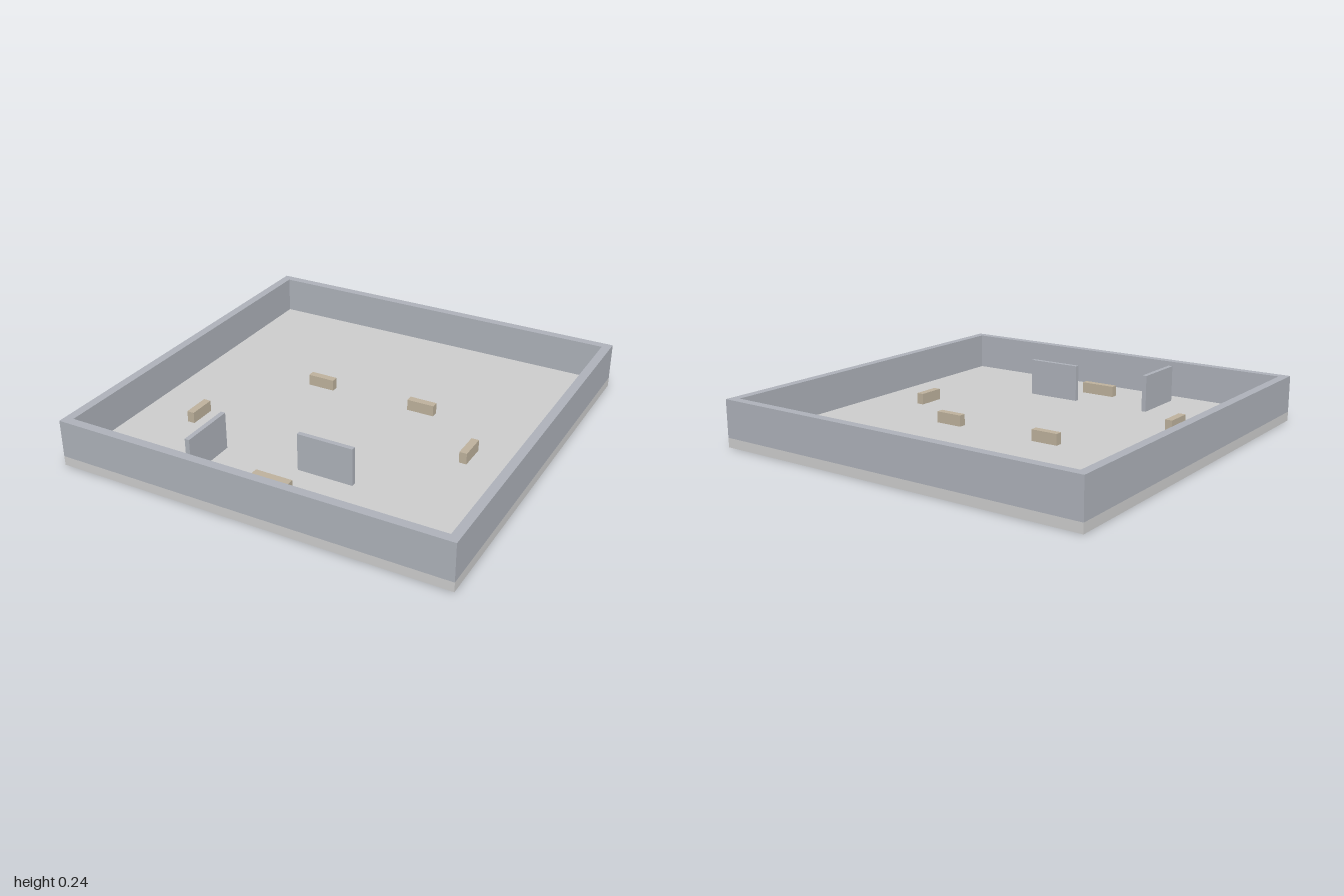
import * as THREE from 'three';

const U = 1 / 21; // module size: the floor is 42 modules wide
const FLOOR_TOP = U;

const material = (color) => new THREE.MeshStandardMaterial({ color });

export function createModel() {
  const model = new THREE.Group();
  const floorMat = material(0xcccccc);
  const wallMat = material(0xacb0b8);
  const blockMat = material(0xbcb09b);

  // Box standing on height y; sizes and positions in modules
  function addBox(name, mat, w, h, d, x, y, z) {
    const mesh = new THREE.Mesh(new THREE.BoxGeometry(w * U, h * U, d * U), mat);
    mesh.position.set(x * U, y + (h * U) / 2, z * U);
    mesh.name = name;
    model.add(mesh);
  }

  // Floor slab
  addBox('floor', floorMat, 42, 1, 42, 0, 0, 0);

  // Perimeter wall: a square ring extruded upwards
  const square = (r) => [[-r, -r], [r, -r], [r, r], [-r, r]].map(([x, y]) => new THREE.Vector2(x, y));
  const ring = new THREE.Shape(square(1));
  ring.holes.push(new THREE.Path(square(20.05 * U).reverse()));
  const wallGeometry = new THREE.ExtrudeGeometry(ring, { depth: 4 * U, bevelEnabled: false });
  wallGeometry.rotateX(-Math.PI / 2);
  const wall = new THREE.Mesh(wallGeometry, wallMat);
  wall.position.y = FLOOR_TOP;
  wall.name = 'perimeterWall';
  model.add(wall);

  // Free-standing partitions, as tall as the wall
  addBox('frontPartition', wallMat, 6, 4, 0.5, 3.5, FLOOR_TOP, 11.92);
  addBox('sidePartition', wallMat, 0.5, 4, 6, -8.05, FLOOR_TOP, 15);

  // Low cover blocks: width, depth, x, z
  const blocks = [
    [3, 0.8, -6, -4],
    [3, 0.8, 6, -4],
    [0.8, 3, 14, 2],
    [0.8, 3, -14, 8],
    [4, 0.8, 0, 16],
  ];
  blocks.forEach(([w, d, x, z], i) =>
    addBox(`lowBlock${i + 1}`, blockMat, w, 1.2, d, x, FLOOR_TOP, z));

  return model;
}
